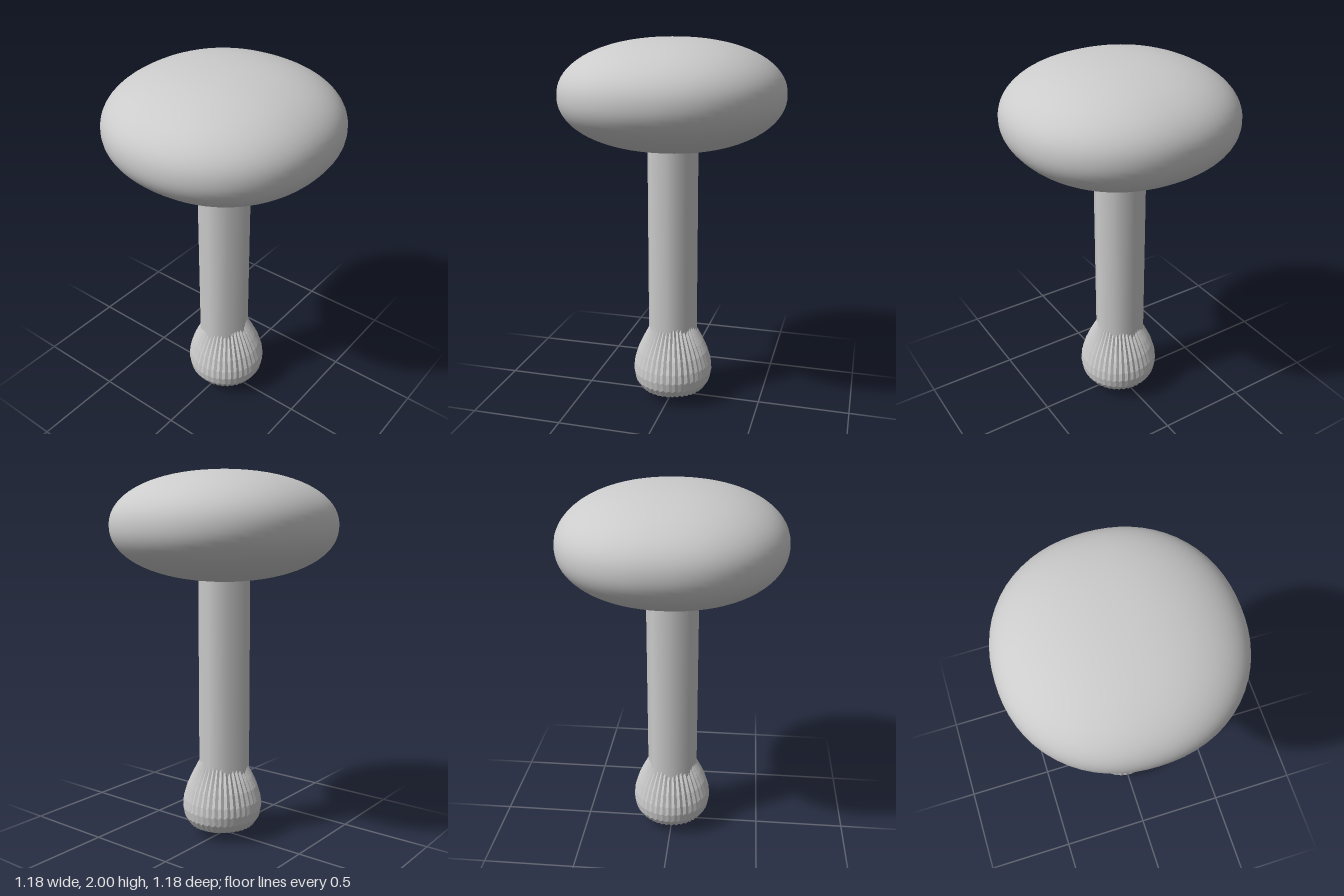
import * as THREE from 'three';

const grey = (flatShading = false) => new THREE.MeshStandardMaterial({ color: 0xcccccc, flatShading });

function addPart(group, name, geometry, flat) {
  const mesh = new THREE.Mesh(geometry, grey(flat));
  mesh.name = name;
  group.add(mesh);
  return mesh;
}

// Slightly squared ellipsoid: a sphere pushed out to |x|^n + |y|^n + |z|^n = 1
function squaredEllipsoid(rx, ry, rz, n) {
  const geo = new THREE.SphereGeometry(1, 64, 40);
  const pos = geo.attributes.position;
  const nor = geo.attributes.normal;
  const v = new THREE.Vector3();
  const slope = (t) => Math.sign(t) * Math.abs(t) ** (n - 1);
  for (let i = 0; i < pos.count; i++) {
    v.fromBufferAttribute(pos, i);
    const len = (Math.abs(v.x) ** n + Math.abs(v.y) ** n + Math.abs(v.z) ** n) ** (1 / n);
    v.divideScalar(len);
    pos.setXYZ(i, v.x * rx, v.y * ry, v.z * rz);
    v.set(slope(v.x) / rx, slope(v.y) / ry, slope(v.z) / rz).normalize();
    nor.setXYZ(i, v.x, v.y, v.z);
  }
  return geo;
}

// Lathed bulb whose every second column is pulled in and down to form pleats
function pleatedBulb(profile, pleats) {
  const points = profile.map(([r, y]) => new THREE.Vector2(r, y));
  const geo = new THREE.LatheGeometry(points, pleats * 2);
  const pos = geo.attributes.position;
  const rows = points.length;
  for (let i = 0; i < pos.count; i++) {
    const column = Math.floor(i / rows);
    const row = i % rows;
    if (column % 2 === 0 || row === 0 || row === rows - 1) continue;
    const pull = 1 - 0.004 / points[row].x;
    const drop = row > 2 ? 0.012 : 0;
    pos.setXYZ(i, pos.getX(i) * pull, pos.getY(i) - drop, pos.getZ(i) * pull);
  }
  const flat = geo.toNonIndexed();
  flat.computeVertexNormals();
  return flat;
}

export function createModel() {
  const group = new THREE.Group();
  group.name = 'mushroom';

  // Broad cushion-shaped cap
  addPart(group, 'cap', squaredEllipsoid(0.59, 0.29, 0.59, 2.15)).position.y = 1.71;

  // Eight-sided stem with smooth shading
  addPart(group, 'stem', new THREE.CylinderGeometry(0.14, 0.14, 1.3, 8)).position.y = 0.85;

  // Pleated bulb at the foot, closing inside the stem
  const profile = [
    [0, 0], [0.06, 0.02], [0.135, 0.042], [0.185, 0.073], [0.212, 0.115], [0.221, 0.165],
    [0.216, 0.215], [0.195, 0.285], [0.17, 0.34], [0.143, 0.392], [0.115, 0.445], [0, 0.5],
  ];
  addPart(group, 'bulb', pleatedBulb(profile, 40), true).position.set(0.012, 0, -0.004);

  return group;
}
